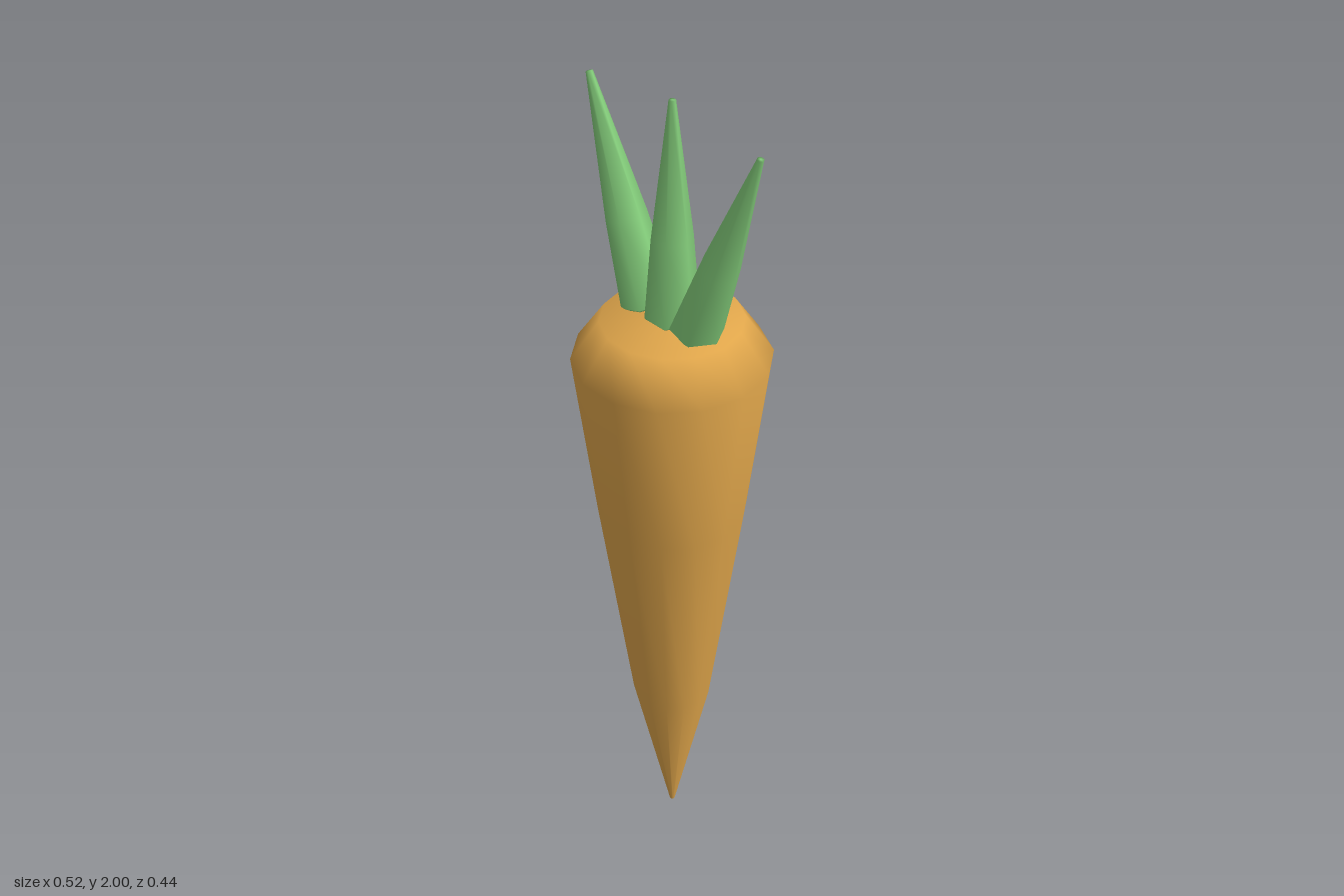
import * as THREE from 'three';

const orange = new THREE.MeshStandardMaterial({ color: 0xe0a64b });
orange.name = 'carrot orange';
const green = new THREE.MeshStandardMaterial({ color: 0x83cc7a });
green.name = 'leaf green';

// Surface of revolution with a corner on the x axis
function turned(name, profile, sides, material) {
  const points = profile.map(([r, y]) => new THREE.Vector2(r, y));
  const mesh = new THREE.Mesh(new THREE.LatheGeometry(points, sides, Math.PI / 2), material);
  mesh.name = name;
  return mesh;
}

export function createModel() {
  const model = new THREE.Group();
  model.name = 'carrot';

  // Tapered root with a bevelled shoulder and an almost flat crown
  model.add(turned('root', [
    [0, 0], [0.006, 0.004], [0.094, 0.4], [0.172, 0.96],
    [0.224, 1.375], [0.16, 1.47], [0, 1.478],
  ], 14, orange));

  // Three six-sided leaves: one upright, one leaning to each side
  const leafProfile = [
    [0, 0], [0.058, 0], [0.062, 0.004], [0.047, 0.2], [0.008, 0.525], [0, 0.525],
  ];
  const names = ['rightLeaf', 'middleLeaf', 'leftLeaf'];
  for (const side of [-1, 0, 1]) {
    const leaf = turned(names[side + 1], leafProfile, 6, green);
    leaf.position.set(side * 0.075, 1.475, 0);
    leaf.rotation.z = -side * THREE.MathUtils.degToRad(20);
    model.add(leaf);
  }
  return model;
}
